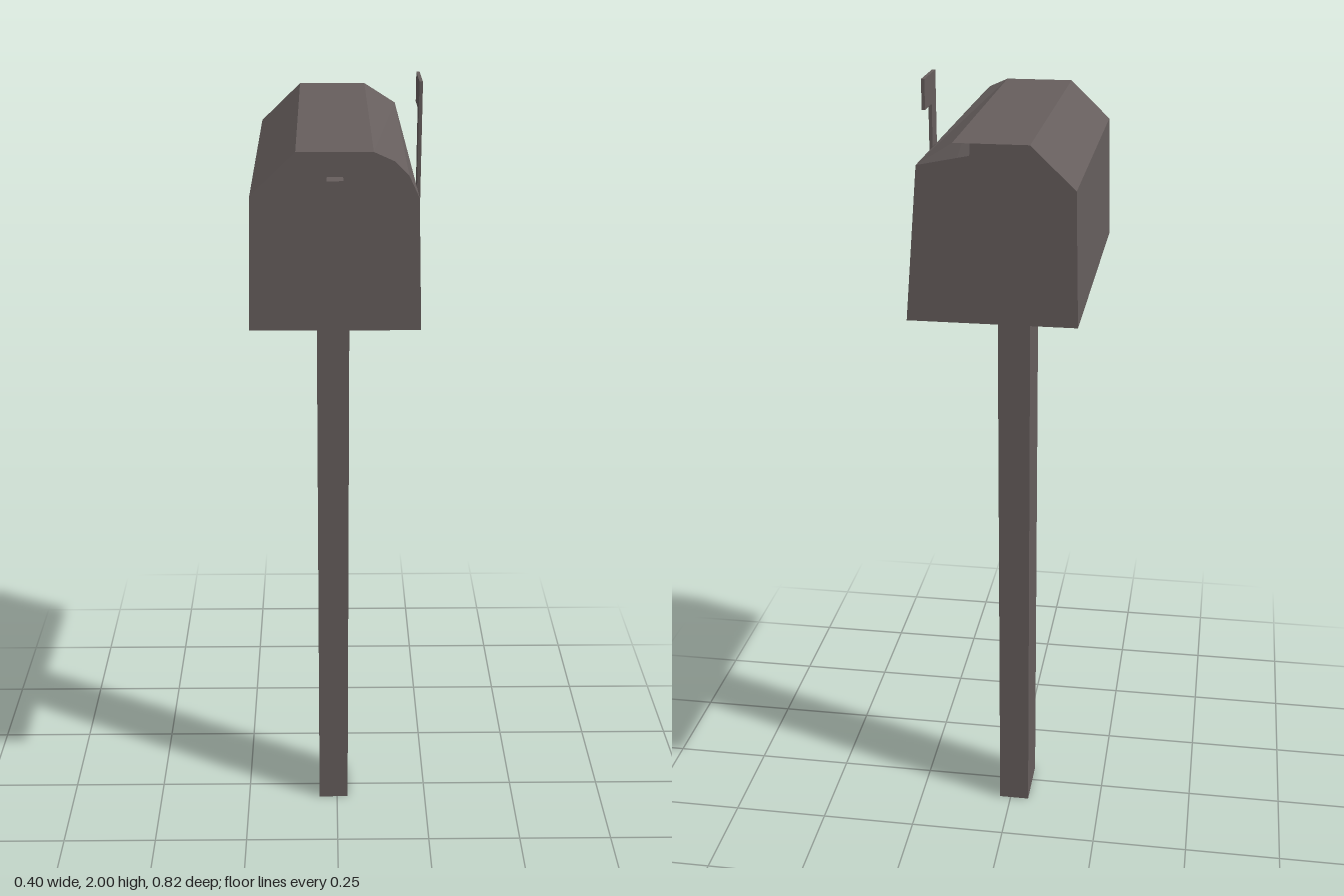
import * as THREE from 'three';

const metal = new THREE.MeshStandardMaterial({ color: 0x665e5d, side: THREE.DoubleSide });
metal.name = 'weathered brown grey';

// Flat-shaded mesh from a list of triangles (each three [x, y, z] corners)
function facets(name, triangles) {
  const geo = new THREE.BufferGeometry();
  geo.setAttribute('position', new THREE.Float32BufferAttribute(triangles.flat(2), 3));
  geo.computeVertexNormals();
  const mesh = new THREE.Mesh(geo, metal);
  mesh.name = name;
  return mesh;
}

// Wall between two closed rings with matching corners
function wall(front, back) {
  const tris = [];
  front.forEach((a, i) => {
    const j = (i + 1) % front.length;
    if (a !== front[j]) tris.push([a, front[j], back[j]]);
    if (back[i] !== back[j]) tris.push([a, back[j], back[i]]);
  });
  return tris;
}

// Fan over a convex outline
function fan(ring) {
  return ring.slice(1, -1).map((p, i) => [ring[0], p, ring[i + 2]]);
}

function box(name, [x0, x1], [y0, y1], [z0, z1]) {
  const mesh = new THREE.Mesh(new THREE.BoxGeometry(x1 - x0, y1 - y0, z1 - z0), metal);
  mesh.position.set((x0 + x1) / 2, (y0 + y1) / 2, (z0 + z1) / 2);
  mesh.name = name;
  return mesh;
}

export function createModel() {
  const group = new THREE.Group();
  group.name = 'mailbox';

  // Hollow square post
  const postRing = y => [[-0.05, y, -0.09], [0.03, y, -0.09], [0.03, y, 0.06], [-0.05, y, 0.06]];
  group.add(facets('post', wall(postRing(1.52), postRing(0))));

  // Box shell: rounded shoulder at the front, merging to one corner at the back
  const front = [[-0.2, 1.52], [-0.192, 1.825], [-0.092, 1.92], [0.075, 1.92],
    [0.12, 1.9], [0.152, 1.868], [0.175, 1.82], [0.185, 1.52]].map(([x, y]) => [x, y, 0.375]);
  const corners = [[-0.2, 1.52], [-0.192, 1.825], [-0.092, 1.92], [0.075, 1.92],
    [0.155, 1.87], [0.185, 1.52]].map(([x, y]) => [x, y, -0.412]);
  const back = [0, 1, 2, 3, 4, 4, 4, 5].map(i => corners[i]);
  group.add(facets('boxShell', wall(front, back)));
  group.add(facets('door', fan([...front].reverse())));

  // Back panel stops short of the top corner, leaving a narrow gap
  group.add(facets('backPanel', fan(corners.filter((c, i) => i !== 3))));

  // Door handle: short shelf with a turned-down lip
  const handle = new THREE.Group();
  handle.name = 'doorHandle';
  handle.add(box('handleShelf', [-0.026, 0.01], [1.845, 1.866], [0.373, 0.41]));
  handle.add(box('handleLip', [-0.026, 0.01], [1.822, 1.846], [0.398, 0.409]));
  group.add(handle);

  // Signal flag on its arm, outline drawn as (-z, y)
  const outline = [[-0.01, 1.7], [0.042, 1.7], [0.042, 1.93], [0.12, 1.93], [0.12, 2], [-0.01, 2]];
  const flagGeo = new THREE.ExtrudeGeometry(
    new THREE.Shape(outline.map(p => new THREE.Vector2(...p))),
    { depth: 0.008, bevelEnabled: false });
  const flag = new THREE.Mesh(flagGeo, metal);
  flag.rotation.y = Math.PI / 2;
  flag.position.x = 0.192;
  flag.name = 'signalFlag';
  group.add(flag);

  // Flag mount set into the sloping side
  group.add(box('flagMount', [0.165, 0.179], [1.7, 1.78], [-0.07, 0.035]));

  return group;
}
